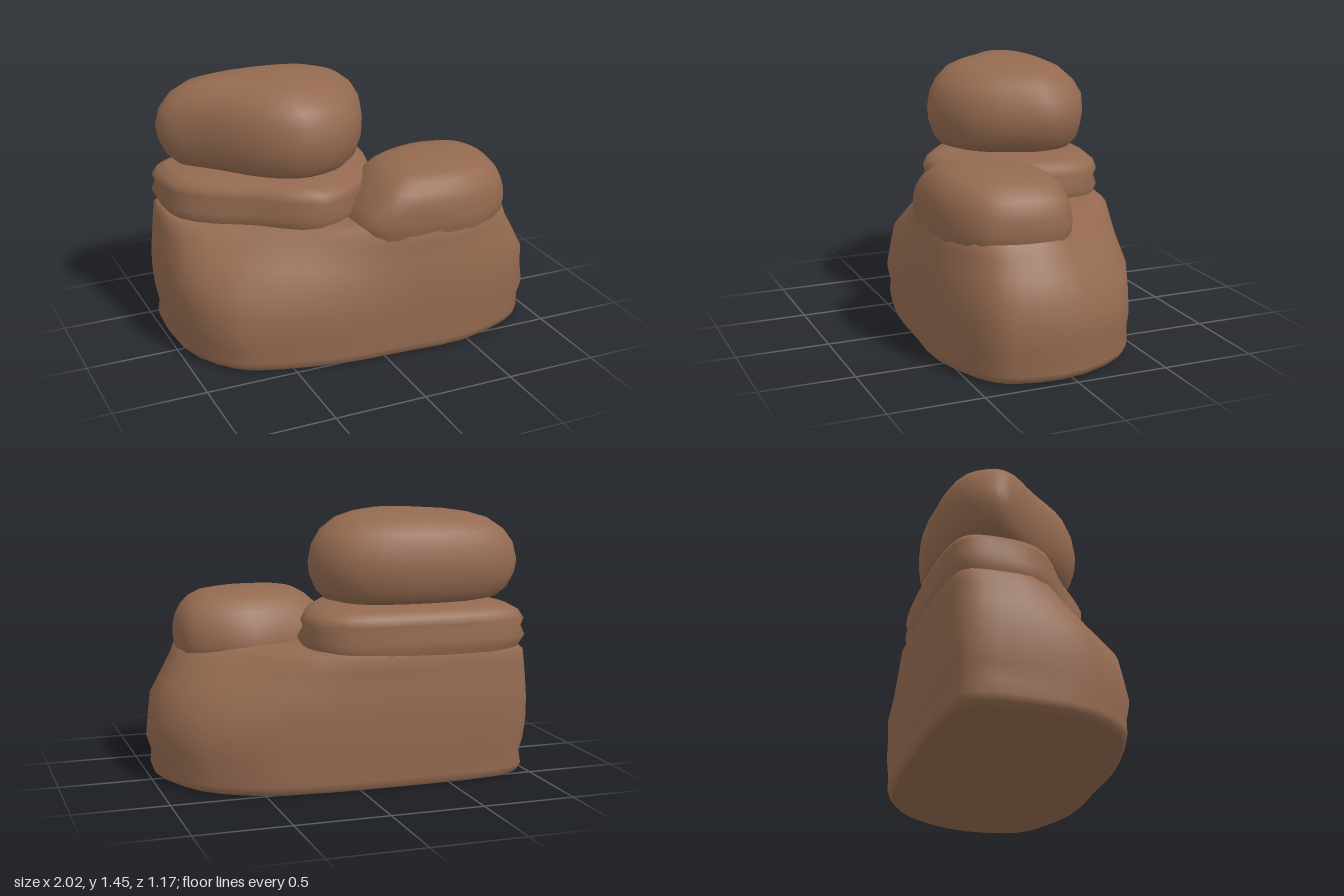
import * as THREE from 'three';

const SIDES = 40;

// Smooth closed outline through [x, z] points, sampled evenly.
function outline(points) {
  const curve = new THREE.CatmullRomCurve3(
    points.map(([x, z]) => new THREE.Vector3(x, 0, z)), true, 'centripetal');
  return Array.from({ length: SIDES }, (_, i) => curve.getPoint(i / SIDES));
}

// Rock lofted from a lower to an upper outline.
// rows: [y, blend between outlines, scale about the centre]; ripple roughens the sides.
function rock(name, material, lower, upper, [cx, cz], rows, ripple) {
  const a = outline(lower), b = outline(upper);
  const pos = [], index = [];
  for (const [y, t, s] of rows) {
    for (let i = 0; i < SIDES; i++) {
      const angle = (i / SIDES) * Math.PI * 2;
      const k = s * (1 + (y > 0.03 ? ripple * Math.sin(3 * angle + y * 23) : 0));
      const p = a[i].clone().lerp(b[i], t);
      pos.push(cx + (p.x - cx) * k, y, cz + (p.z - cz) * k);
    }
  }
  for (let r = 0; r < rows.length - 1; r++) {
    for (let i = 0; i < SIDES; i++) {
      const j = (i + 1) % SIDES, p = r * SIDES, q = p + SIDES;
      index.push(p + i, q + i, q + j, p + i, q + j, p + j);
    }
  }
  // Top cap shares its rim for a rounded crown; the bottom cap has its own rim for a crisp edge.
  const top = (rows.length - 1) * SIDES, topCentre = pos.length / 3;
  pos.push(cx, rows[rows.length - 1][0] + 0.002, cz);
  const base = topCentre + 1, baseCentre = base + SIDES;
  pos.push(...pos.slice(0, SIDES * 3), cx, rows[0][0], cz);
  for (let i = 0; i < SIDES; i++) {
    const j = (i + 1) % SIDES;
    index.push(topCentre, top + j, top + i, baseCentre, base + i, base + j);
  }
  const geometry = new THREE.BufferGeometry();
  geometry.setAttribute('position', new THREE.Float32BufferAttribute(pos, 3));
  geometry.setIndex(index);
  geometry.computeVertexNormals();
  const mesh = new THREE.Mesh(geometry, material);
  mesh.name = name;
  return mesh;
}

export function createModel() {
  const group = new THREE.Group();
  group.name = 'rockFormation';
  const stone = new THREE.MeshStandardMaterial({ color: 0x946a50 });
  stone.name = 'brown stone';

  // Broad foot that narrows toward the ledge
  const foot = [[-1, -0.35], [-0.95, -0.5], [-0.82, -0.555], [-0.3, -0.58], [0.43, -0.55], [0.63, -0.48],
    [0.84, -0.33], [0.99, 0], [0.96, 0.31], [0.87, 0.43], [0.5, 0.57], [0.1, 0.56], [-0.25, 0.54],
    [-0.67, 0.44], [-0.82, 0.36], [-0.98, 0.1]];
  const ledge = [[-0.97, -0.33], [-0.94, -0.5], [-0.8, -0.55], [-0.3, -0.57], [0.2, -0.54], [0.35, -0.42],
    [0.55, -0.2], [0.79, 0], [0.81, 0.2], [0.75, 0.4], [0.45, 0.54], [0.05, 0.5], [-0.28, 0.37],
    [-0.5, 0.22], [-0.7, 0.07], [-0.94, -0.12]];
  group.add(rock('base', stone, foot, ledge, [0, 0], [
    [0, 0, 0.94], [0.015, 0, 0.97], [0.05, 0, 0.985], [0.12, 0, 0.98], [0.2, 0, 1], [0.3, 0.06, 1.005],
    [0.42, 0.18, 1.015], [0.53, 0.45, 1.005], [0.63, 0.74, 1], [0.69, 0.93, 1], [0.715, 1, 0.975],
    [0.73, 1, 0.87], [0.74, 1, 0.4]], 0.004));

  // Layered slab under the boulder
  const slab = [[-0.97, -0.33], [-0.94, -0.5], [-0.8, -0.56], [-0.3, -0.58], [0.1, -0.54], [0.22, -0.42],
    [0.23, -0.2], [0.14, 0.02], [0.02, 0.2], [-0.28, 0.35], [-0.6, 0.14], [-0.92, -0.1]];
  group.add(rock('slab', stone, slab, slab, [-0.38, -0.2], [
    [0.66, 0, 0.93], [0.72, 0, 0.965], [0.77, 0, 1.005], [0.82, 0, 0.965], [0.86, 0, 0.99],
    [0.9, 0, 0.955], [0.93, 0, 0.87], [0.945, 0, 0.72], [0.953, 0, 0.45]], 0.008));

  // Rounded shoulder at the front, leaning away from the slab
  const shoulderFoot = [[0.02, -0.04], [0.3, -0.14], [0.5, -0.17], [0.7, -0.1], [0.81, 0], [0.82, 0.25],
    [0.75, 0.42], [0.5, 0.545], [0.2, 0.54], [-0.05, 0.48], [-0.1, 0.3], [-0.07, 0.1]];
  const shoulderTop = [[0.12, -0.02], [0.3, -0.1], [0.5, -0.13], [0.7, -0.08], [0.8, 0], [0.81, 0.25],
    [0.74, 0.42], [0.5, 0.54], [0.22, 0.54], [0.05, 0.49], [0.01, 0.3], [0.04, 0.1]];
  group.add(rock('shoulder', stone, shoulderFoot, shoulderTop, [0.4, 0.2], [
    [0.6, 0, 0.93], [0.7, 0, 0.995], [0.74, 0, 1.005], [0.8, 0.35, 1.005], [0.85, 0.65, 0.985],
    [0.9, 0.85, 0.935], [0.945, 1, 0.84], [0.975, 1, 0.7], [0.992, 1, 0.48], [1, 1, 0.2]], 0.004));

  // Balanced boulder, blunt triangular from above
  const boulder = [[-0.95, -0.36], [-0.84, -0.5], [-0.3, -0.56], [0.07, -0.46], [0.18, -0.26], [0.12, -0.04],
    [0.02, 0.14], [-0.1, 0.24], [-0.32, 0.295], [-0.53, 0.2], [-0.78, -0.08], [-0.94, -0.26]];
  group.add(rock('boulder', stone, boulder, boulder, [-0.37, -0.15], [
    [0.948, 0, 0.45], [0.955, 0, 0.7], [0.975, 0, 0.84], [1.02, 0, 0.93], [1.1, 0, 0.985], [1.17, 0, 1],
    [1.26, 0, 0.975], [1.33, 0, 0.89], [1.39, 0, 0.74], [1.42, 0, 0.57], [1.437, 0, 0.37], [1.443, 0, 0.18]],
    0.006));

  return group;
}
